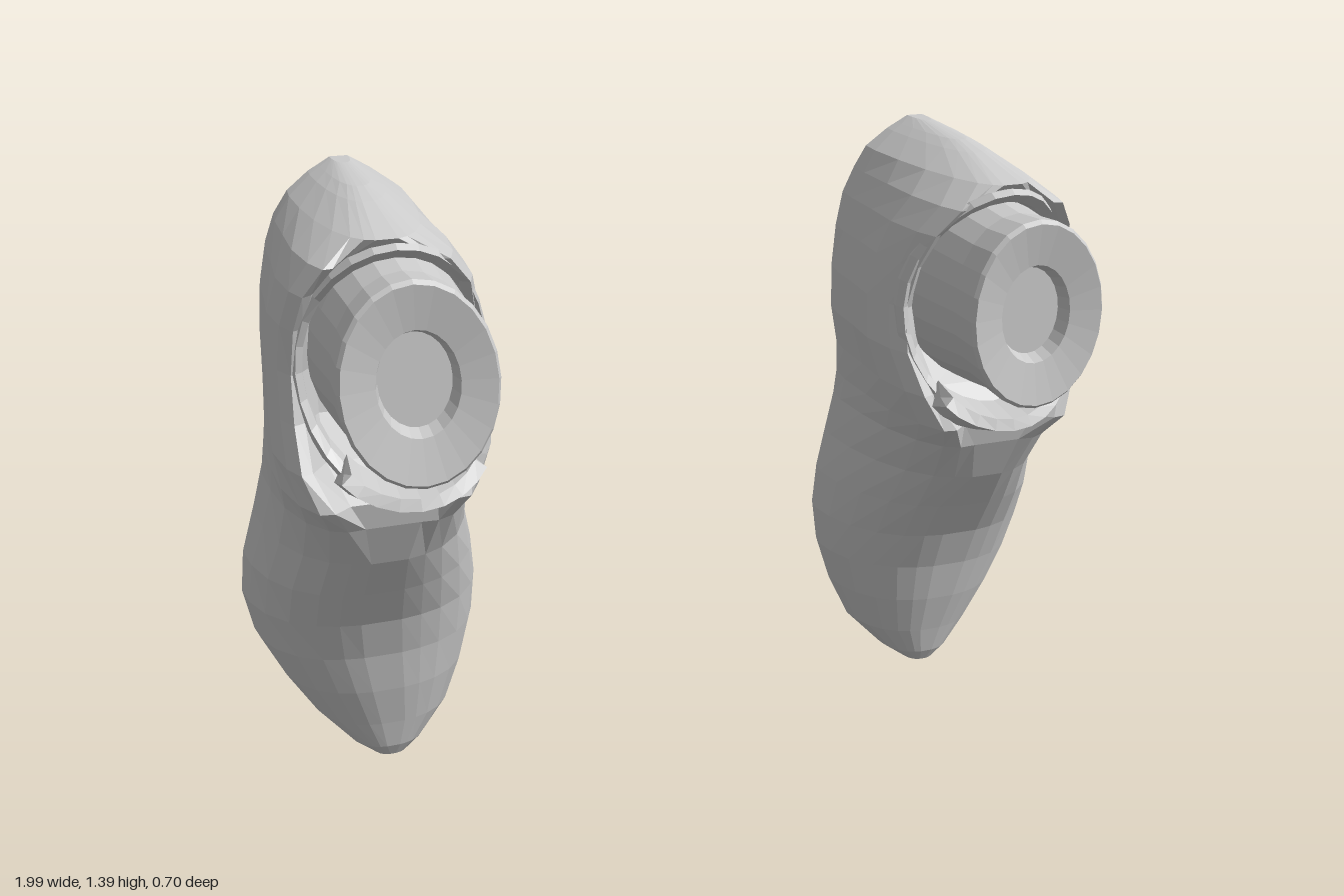
import * as THREE from 'three';

const material = new THREE.MeshStandardMaterial({ color: 0xcccccc, flatShading: true, side: THREE.DoubleSide });

// Skin a list of closed rings; side = -1 builds the mirrored part
function loft(name, rings, side, capStart, capEnd) {
  const pos = [], index = [], n = rings[0].length;
  const tri = (a, b, c) => (side > 0 ? index.push(a, b, c) : index.push(a, c, b));
  rings.forEach(r => r.forEach(p => pos.push(p[0] * side, p[1], p[2])));
  for (let i = 0; i < rings.length - 1; i++)
    for (let j = 0; j < n; j++) {
      const a = i * n + j, b = i * n + (j + 1) % n;
      tri(a, a + n, b);
      tri(b, a + n, b + n);
    }
  const cap = (i, flip) => {
    const c = pos.length / 3, m = [0, 1, 2].map(k => rings[i].reduce((s, p) => s + p[k], 0) / n);
    pos.push(m[0] * side, m[1], m[2]);
    for (let j = 0; j < n; j++) {
      const a = i * n + j, b = i * n + (j + 1) % n;
      flip ? tri(c, b, a) : tri(c, a, b);
    }
  };
  if (capStart) cap(0, false);
  if (capEnd) cap(rings.length - 1, true);
  const g = new THREE.BufferGeometry();
  g.setAttribute('position', new THREE.Float32BufferAttribute(pos, 3));
  g.setIndex(index);
  g.computeVertexNormals();
  const mesh = new THREE.Mesh(g, material);
  mesh.name = name;
  return mesh;
}

// Ellipse facing +z, clockwise from the front; z may depend on height
const ellipse = (cx, cy, rx, ry, zAt, n = 24) => Array.from({ length: n }, (_, i) => {
  const a = -i / n * Math.PI * 2, y = cy + ry * Math.sin(a);
  return [cx + rx * Math.cos(a), y, zAt(y)];
});

// Stations from toe to heel: y, inner x, outer x, sole z, top z
const stations = [
  [0.00, 0.66, 0.74, -0.19, -0.14], [0.03, 0.61, 0.79, -0.24, -0.125],
  [0.10, 0.54, 0.86, -0.295, -0.11], [0.20, 0.495, 0.925, -0.325, -0.085],
  [0.30, 0.465, 0.975, -0.34, -0.065], [0.40, 0.455, 0.995, -0.35, -0.03],
  [0.50, 0.465, 0.985, -0.35, 0.03], [0.60, 0.485, 0.955, -0.345, 0.095],
  [0.70, 0.495, 0.935, -0.33, 0.155], [0.76, 0.49, 0.935, -0.32, 0.195],
  [0.84, 0.475, 0.935, -0.31, 0.155], [0.93, 0.46, 0.93, -0.32, 0.095],
  [1.03, 0.465, 0.925, -0.335, 0.07], [1.13, 0.48, 0.915, -0.345, 0.095],
  [1.21, 0.50, 0.895, -0.348, 0.14], [1.27, 0.535, 0.865, -0.345, 0.18],
  [1.32, 0.575, 0.82, -0.34, 0.17], [1.36, 0.63, 0.77, -0.335, 0.0],
  [1.375, 0.655, 0.745, -0.33, -0.08], [1.39, 0.68, 0.72, -0.325, -0.25],
];
// Half sections as [width fraction, height fraction]: domed forefoot, open ankle
const domed = [[0.96, 0], [1, 0.12], [0.97, 0.35], [0.88, 0.58], [0.72, 0.78], [0.52, 0.91], [0.34, 0.97], [0.17, 1], [0, 1]];
const ankle = [[0.87, 0], [0.92, 0.15], [0.95, 0.4], [1, 0.65], [0.95, 0.88], [0.86, 1], [0.76, 0.97], [0.6, 0.84], [0, 0.84]];

function shoeBody(side) {
  const rings = stations.map(([y, xi, xo, z0, z1]) => {
    const m = THREE.MathUtils.smoothstep(y, 0.62, 0.88) * (1 - THREE.MathUtils.smoothstep(y, 1.24, 1.33));
    const c = (xi + xo) / 2, w = (xo - xi) / 2;
    const half = domed.map((d, i) => [
      w * THREE.MathUtils.lerp(d[0], ankle[i][0], m),
      z0 + (z1 - z0) * THREE.MathUtils.lerp(d[1], ankle[i][1], m),
    ]);
    const right = half.map(([x, z]) => [c + x, y, z]);
    const left = half.slice(0, -1).reverse().map(([x, z]) => [c - x, y, z]);
    return [...right, ...left];
  });
  return loft('shoeBody', rings, side, true, true);
}

// Padded rim that dips along the sides of the ankle
function collar(side) {
  const rimZ = y => 0.065 + 0.12 * ((y - 1.035) / 0.27) ** 2;
  const profile = [[1.0, -0.04], [1.04, -0.01], [1.0, 0.015], [0.92, 0.005], [0.86, -0.09]];
  const rings = profile.map(([s, dz]) => ellipse(0.685, 1.035, 0.2 * s, 0.27 * s, y => rimZ(y) + dz, 28));
  return loft('collar', rings, side);
}

// Ankle cuff with a slanted end and a shallow recess
function cuff(side) {
  const slant = z => y => z - 0.07 * (y - 1.065);
  const profile = [[1.06, -0.02], [1.03, 0.12], [0.97, 0.24], [1.0, 0.33], [0.96, 0.34], [0.52, 0.325], [0.46, 0.29]];
  const rings = profile.map(([s, z]) => ellipse(0.683, 1.067, 0.163 * s, 0.21 * s, slant(z)));
  return loft('ankleCuff', rings, side, true, true);
}

// Curved tongue lip below the cuff
function tongue(side) {
  const rings = [];
  for (let i = 0; i <= 8; i++) {
    const a = THREE.MathUtils.degToRad(-155 + i * 130 / 8), z = 0.16 + 0.065 * Math.sin(a) ** 2;
    const at = (r, dy, dz) => [0.68 + 0.165 * r * Math.cos(a), 0.86 + 0.1 * r * Math.sin(a) + dy, z + dz];
    rings.push([at(1, -0.01, -0.05), at(1, 0.02, 0.05), at(0.85, 0.03, 0.04), at(0.8, 0.04, -0.05)]);
  }
  return loft('tongueLip', rings, side, true, true);
}

export function createModel() {
  const model = new THREE.Group();
  model.name = 'pairOfShoes';
  for (const side of [1, -1]) {
    const shoe = new THREE.Group();
    shoe.name = side > 0 ? 'leftShoe' : 'rightShoe';
    shoe.add(shoeBody(side), collar(side), cuff(side), tongue(side));
    model.add(shoe);
  }
  return model;
}
